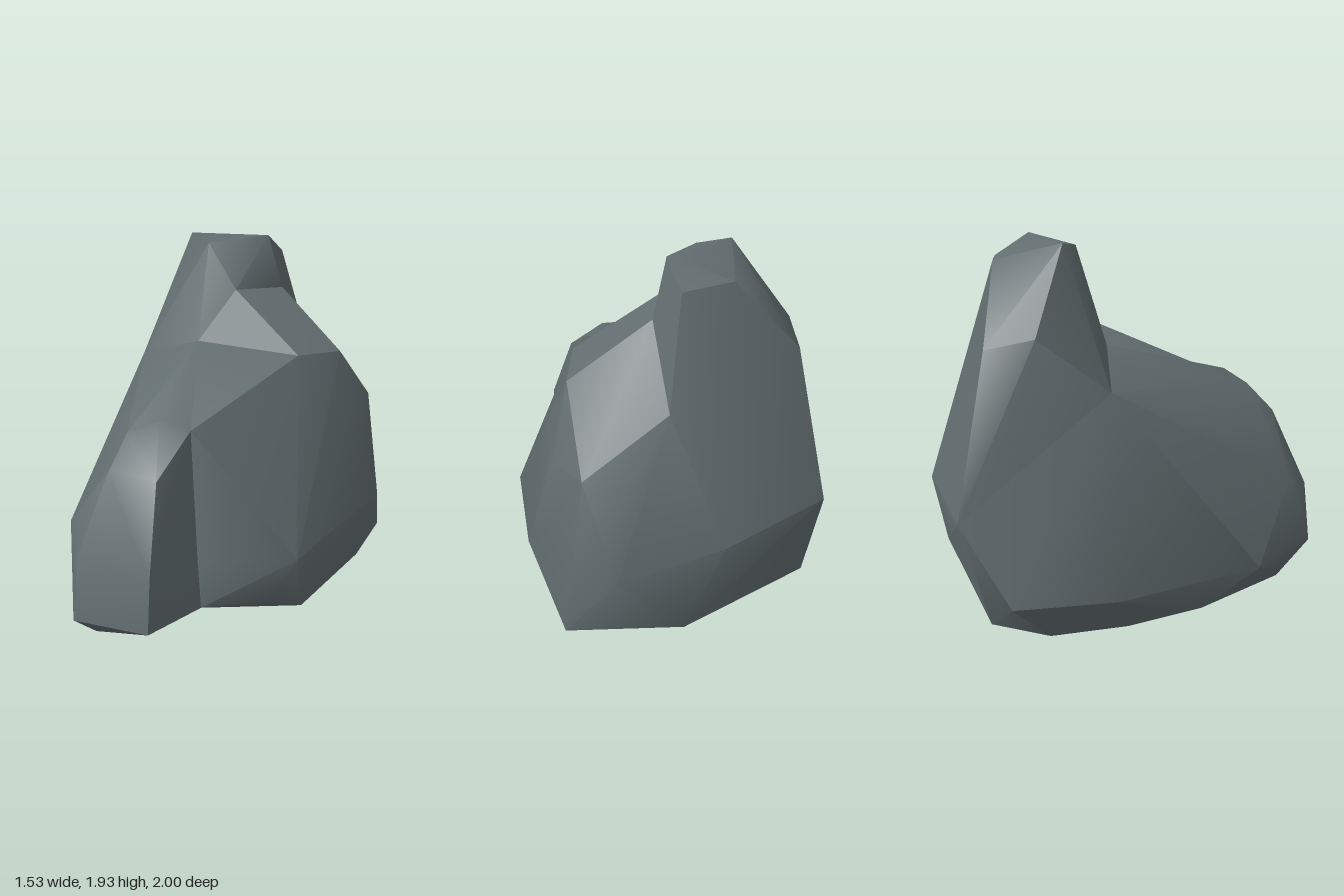
import * as THREE from 'three';
import { ConvexGeometry } from 'three/addons/geometries/ConvexGeometry.js';
import { toCreasedNormals } from 'three/addons/utils/BufferGeometryUtils.js';

const stone = new THREE.MeshStandardMaterial({ color: 0x626d70 });
stone.name = 'slate grey stone';

// One chunk of rock: the hull of a few corners, softened across shallow edges
function chunk(name, corners) {
  const points = corners.map((c) => new THREE.Vector3(...c));
  const mesh = new THREE.Mesh(toCreasedNormals(new ConvexGeometry(points), 0.65), stone);
  mesh.name = name;
  return mesh;
}

export function createModel() {
  const group = new THREE.Group();
  group.name = 'boulder';

  // Corners shared by neighbouring chunks
  const ledgeLeft = [0.36, 1.4, -0.08], ledgeMid = [-0.22, 1.4, -0.11], ledgeRight = [-0.59, 1.27, -0.18];
  const shoulderTip = [0.51, 1.37, -0.33], shoulderTop = [0.13, 1.65, -0.46], shoulderFront = [-0.05, 1.67, -0.23];
  const notch = [0.19, 1.3, -0.73], flankFront = [0.65, 1.04, -0.45], flankBack = [0.6, 1.03, -0.66];
  const backRight = [-0.61, 0.7, -0.92], backMid = [0.03, 0.68, -1];
  const sideLow = [-0.77, 0.27, -0.18], sideFront = [-0.65, 0.28, 0.59], sideLeft = [0.76, 0.56, -0.36];
  const footLeft = [0.12, 0.24, 0.62], footBack = [0.4, 0.22, 0.4], hip = [0.53, 0.46, 0.34], crook = [0.12, 0.5, 0.6];
  const baseFront = [-0.59, 0.05, 0.3], baseMid = [-0.61, 0.02, -0.1], baseBack = [-0.61, 0.03, -0.5];
  const ridgeLeft = [0.03, 1.16, 0.52];

  // Broad main mass
  group.add(chunk('body', [
    ledgeLeft, ledgeMid, ledgeRight, ridgeLeft, shoulderTip, notch, flankFront, flankBack, backRight, backMid,
    sideLeft, [0.53, 0.56, -0.86], [0.71, 0.2, -0.66], [0.64, 0.07, -0.47],
    [0.43, 0, -0.16], [0.4, 0.03, -0.55], [0.5, 0.06, 0.15], hip, footBack,
    footLeft, crook, sideFront, sideLow, [-0.73, 0.28, -0.7],
    baseFront, baseMid, baseBack, [-0.63, 0.16, -0.79], [0.2, 0.22, -0.93],
  ]));

  // Swelling on the left flank
  group.add(chunk('flank', [
    [0.38, 0.83, 0.25], crook, footLeft, footBack, hip, flankFront, sideLeft, [0.2, 0.7, 0],
  ]));

  // Narrow nose projecting to the front
  group.add(chunk('nose', [
    ledgeMid, ledgeRight, sideLow, sideFront, footLeft, ridgeLeft,
    [-0.5, 1.1, 0.24], [-0.12, 1.2, 0.56], [-0.25, 1.15, 0.64],
    [-0.4, 0.26, 0.99], [0.02, 0.3, 1], [0.03, 0.6, 0.98], [-0.38, 0.6, 0.95],
    [-0.02, 1, 0.79], [-0.28, 1, 0.78], [-0.5, 0.7, 0.8],
    [-0.46, 0.1, 0.78], [-0.35, 0.13, 0.87], [-0.2, 0.1, 0.77],
    baseFront, baseMid, baseBack, [0, 0.06, 0.1],
  ]));

  // Tall peak at the back
  group.add(chunk('peak', [
    [-0.36, 1.93, -0.35], [-0.22, 1.9, -0.26], [0.05, 1.93, -0.44], [0.07, 1.82, -0.61], [-0.18, 1.84, -0.65],
    shoulderTop, shoulderFront, notch, ledgeMid, ledgeRight, backRight, backMid,
    [-0.6, 1.55, -0.53], [-0.5, 1.49, -0.75],
  ]));

  // Sloping shoulder beside the peak
  group.add(chunk('shoulder', [
    shoulderFront, shoulderTop, ledgeLeft, shoulderTip, notch, ledgeMid, flankFront, flankBack,
  ]));

  return group;
}
